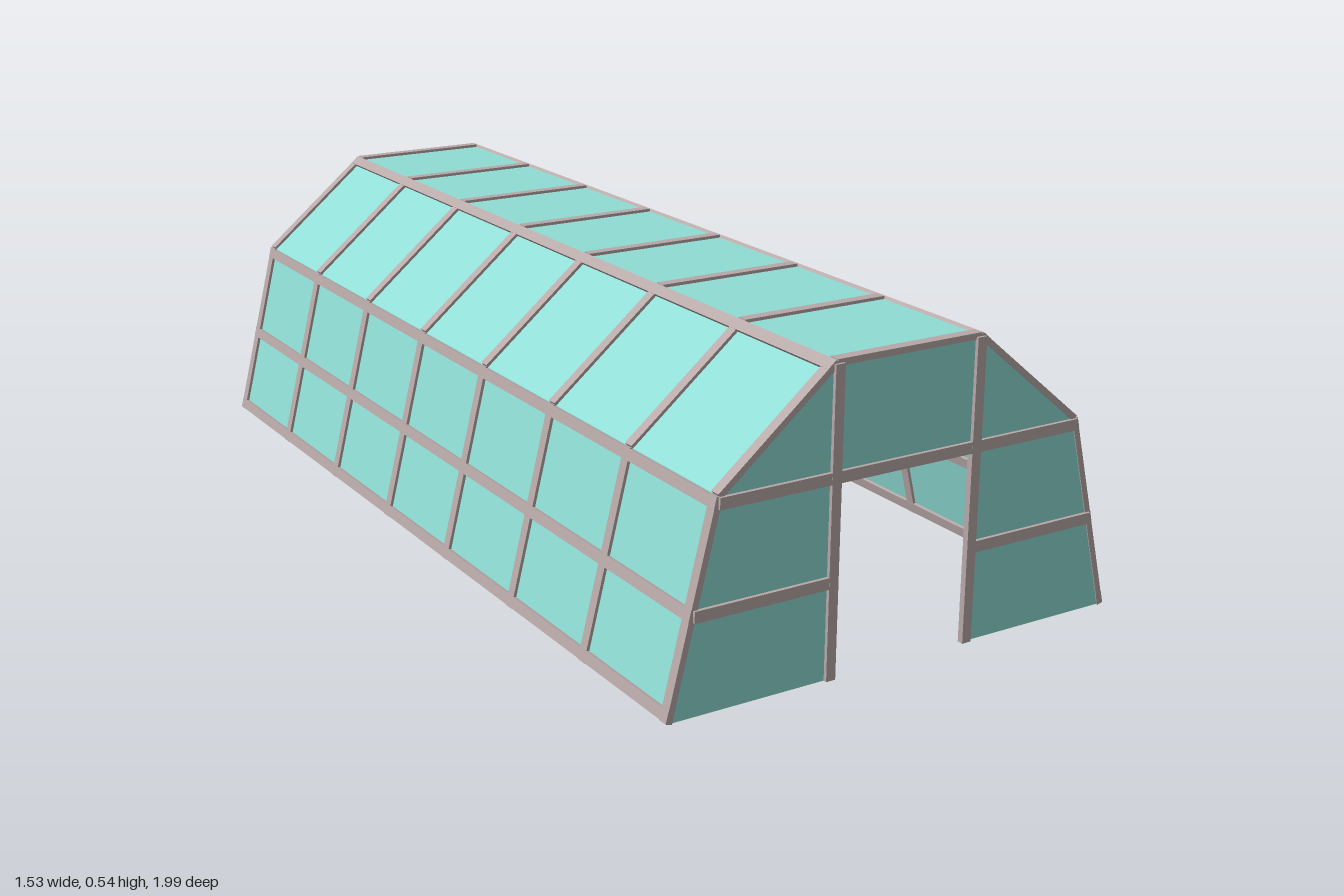
import * as THREE from 'three';

export function createModel() {
  const model = new THREE.Group();
  const house = new THREE.Group();
  house.name = 'greenhouse';
  house.rotation.y = -0.408; // the building stands turned on its plot
  model.add(house);

  const glass = new THREE.MeshStandardMaterial({ color: 0x8fdcd4, side: THREE.DoubleSide });
  const metal = new THREE.MeshStandardMaterial({ color: 0xb8a8a8 });

  const L = 1.782, BAYS = 7, W = 0.02, T = 0.011;
  // Cross-section from the left foot over the roof to the right foot
  const profile = [[0.443, 0], [0.355, 0.356], [0.142, 0.533], [-0.142, 0.533], [-0.355, 0.356], [-0.443, 0]]
    .map(([x, y]) => new THREE.Vector2(x, y));
  const halfWidth = y => 0.443 - 0.088 * y / 0.356;

  const add = (name, geo, mat, x, y, z, rz = 0) => {
    const m = new THREE.Mesh(geo, mat);
    m.name = name;
    m.position.set(x, y, z);
    m.rotation.z = rz;
    house.add(m);
    return m;
  };

  // Glass panels and ribs along each side of the cross-section
  for (let i = 0; i < profile.length - 1; i++) {
    const a = profile[i], b = profile[i + 1];
    const len = a.distanceTo(b), ang = Math.atan2(b.y - a.y, b.x - a.x);
    const mx = (a.x + b.x) / 2, my = (a.y + b.y) / 2;
    const panel = new THREE.PlaneGeometry(len, L).rotateX(Math.PI / 2);
    add(i === 0 || i === 4 ? 'sideGlass' : 'roofGlass', panel, glass, mx, my, 0, ang);
    for (let k = 0; k <= BAYS; k++) {
      const z = -L / 2 + W / 2 + k * (L - W) / BAYS;
      add('rib', new THREE.BoxGeometry(len, T, W), metal, mx, my, z, ang);
    }
  }

  // Long rails: base, middle and eave on the walls, ridge on the roof slopes
  for (const s of [1, -1]) {
    const wallAngle = s * Math.atan2(0.356, -0.088);
    for (const [name, y] of [['baseRail', 0.011], ['middleRail', 0.17], ['eaveRail', 0.345]]) {
      add(name, new THREE.BoxGeometry(W, T * 1.1, L), metal, s * halfWidth(y), y, 0, wallAngle);
    }
    const slope = s * Math.atan2(0.177, -0.213);
    add('ridgeRail', new THREE.BoxGeometry(W, T * 1.1, L), metal, s * 0.149, 0.527, 0, slope);
  }

  // End walls: the front one has a doorway, the back one is closed
  const wallShape = door => {
    const pts = profile.slice();
    if (door) {
      pts.push(...[[-0.134, 0], [-0.134, 0.336], [0.134, 0.336], [0.134, 0]]
        .map(([x, y]) => new THREE.Vector2(x, y)));
    }
    return new THREE.Shape(pts);
  };
  for (const [side, s] of [['front', 1], ['back', -1]]) {
    const z = s * L / 2, zb = s * (L / 2 - 0.001);
    add(side + 'Glass', new THREE.ShapeGeometry(wallShape(s > 0)), glass, 0, 0, z - s * 0.002);
    add(side + 'Crossbar', new THREE.BoxGeometry(2 * halfWidth(0.345), W, T), metal, 0, 0.346, zb);
    for (const x of [1, -1]) {
      add(side + 'Post', new THREE.BoxGeometry(W * 0.9, 0.532, T * 1.05), metal, x * 0.14, 0.266, zb);
      const outer = halfWidth(0.17);
      add(side + 'MiddleBar', new THREE.BoxGeometry(outer - 0.14, W, T), metal, x * (outer + 0.14) / 2, 0.17, zb);
    }
  }
  return model;
}
